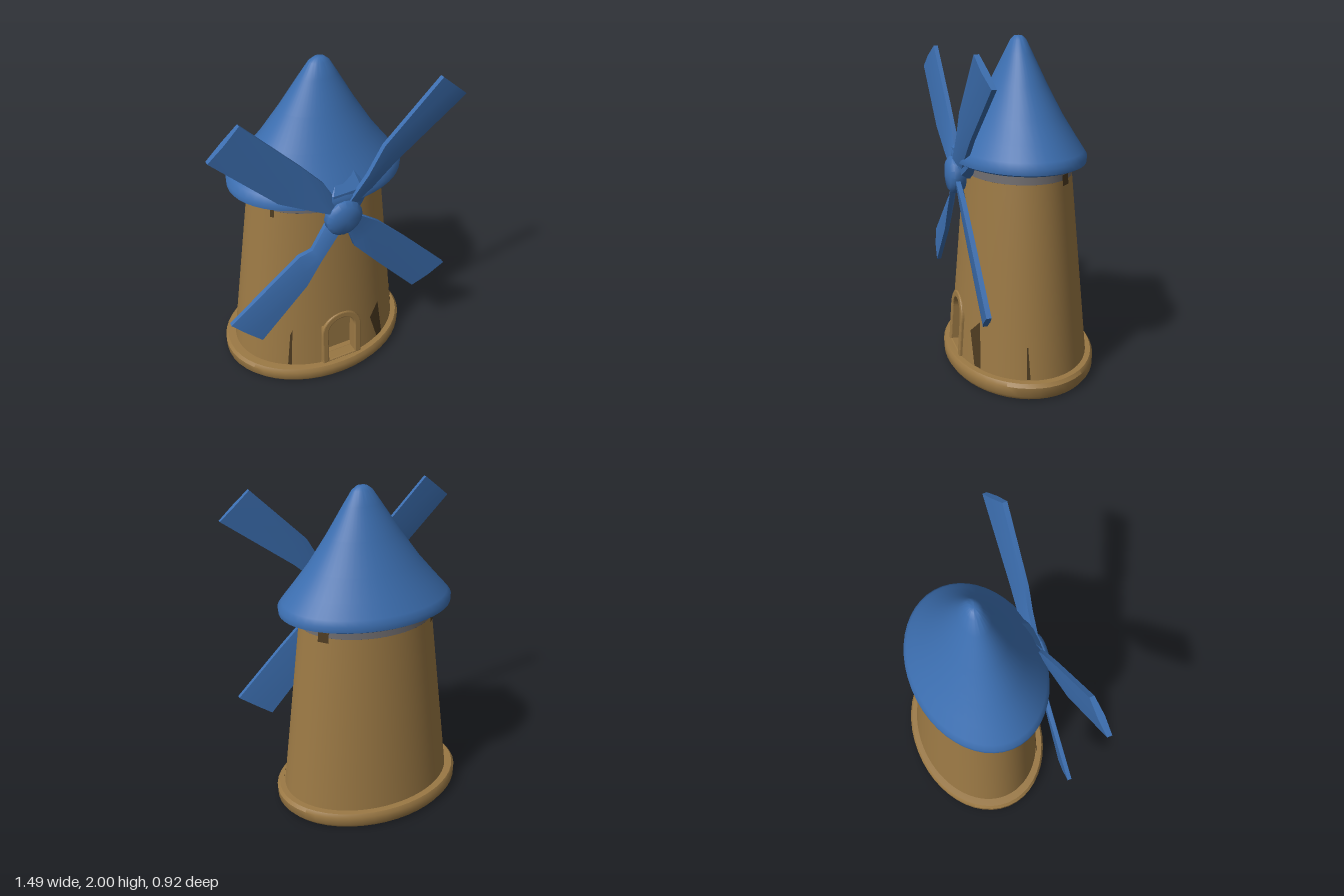
import * as THREE from 'three';
import { toCreasedNormals } from 'three/addons/utils/BufferGeometryUtils.js';
import { ConvexGeometry } from 'three/addons/geometries/ConvexGeometry.js';

const mat = (name, color, side = THREE.FrontSide) => {
  const m = new THREE.MeshStandardMaterial({ color, side });
  m.name = name;
  return m;
};

export function createModel() {
  const group = new THREE.Group();
  const brown = mat('clay brown', 0x9a7844);
  const blue = mat('sail blue', 0x3b6dae);
  const mixed = mat('blended band', 0x6d6a6c);
  const dark = mat('shadow brown', 0x4c3a20, THREE.DoubleSide);

  const add = (name, geo, material) => {
    const mesh = new THREE.Mesh(geo, material);
    mesh.name = name;
    group.add(mesh);
    return mesh;
  };

  // Elliptical turned body; profile radii are x radii, squashed in z
  const turned = (profile, squash, segments = 48) =>
    new THREE.LatheGeometry(profile.map(p => new THREE.Vector2(...p)), segments).scale(1, 1, squash);

  // Tower radii at a given height
  const rx = y => 0.552 - 0.126 * (y - 0.1);
  const rz = y => 0.412 - 0.088 * (y - 0.1);
  const onTower = (t, y, grow = 1) =>
    new THREE.Vector3(rx(y) * Math.sin(t) * grow, y, rz(y) * Math.cos(t) * grow);

  // Base slab
  const base = turned([[0, 0.01], [0.59, 0], [0.61, 0.025], [0.612, 0.08], [0.595, 0.1], [0.5, 0.105], [0, 0.105]], 0.75);
  add('base', toCreasedNormals(base, 0.7), brown).position.x = -0.008;

  // Tower wall, pushed inward at the doorway
  const rows = [];
  for (let y = 0.09; y < 1.22; y += 0.028) rows.push([1, y]);
  rows.push([1, 1.22]);
  const tower = new THREE.LatheGeometry(rows.map(p => new THREE.Vector2(...p)), 96);
  const pos = tower.attributes.position;
  for (let i = 0; i < pos.count; i++) {
    const y = pos.getY(i);
    const x = pos.getX(i) * rx(y);
    let z = pos.getZ(i) * rz(y);
    const inArch = Math.abs(x) < 0.115 && (y < 0.34 || Math.hypot(x, y - 0.33) < 0.115);
    if (z > 0 && inArch) z = 0.31;
    pos.setXYZ(i, x, y, z);
  }
  add('tower', toCreasedNormals(tower, 0.6), brown);

  // Colour change under the eaves
  const band = (name, y0, y1, material) =>
    add(name, turned([[rx(y0), y0], [rx(y1), y1]], rz(y0) / rx(y0)), material);
  band('blendedBand', 1.22, 1.265, mixed);
  band('eavesBand', 1.265, 1.32, blue);

  // Door frame leaning with the wall
  const arch = (shape, w, top) => {
    shape.moveTo(-w, 0.1);
    shape.lineTo(w, 0.1);
    shape.lineTo(w, top);
    shape.absarc(0, top, w, 0, Math.PI, false);
    shape.lineTo(-w, 0.1);
    return shape;
  };
  const frame = arch(new THREE.Shape(), 0.128, 0.33);
  frame.holes.push(arch(new THREE.Path(), 0.1, 0.33));
  const frameGeo = new THREE.ExtrudeGeometry(frame, {
    depth: 0.06, bevelSize: 0.008, bevelThickness: 0.008, bevelSegments: 2, curveSegments: 12,
  });
  const door = add('doorFrame', frameGeo, brown);
  door.position.z = 0.355;
  door.rotation.x = -0.075;

  // Narrow slits and small square vents, as [angle, height] corners
  const openings = {
    leftSlit: [[0.534, 0.11], [0.643, 0.11], [0.6, 0.39], [0.43, 0.31]],
    rightSlit: [[-0.666, 0.11], [-0.62, 0.11], [-0.623, 0.39], [-0.65, 0.35]],
    sideSlit: [[1.29, 0.11], [1.34, 0.11], [1.315, 0.3], [1.3, 0.3]],
    leftVent: [[2.06, 1.19], [2.25, 1.19], [2.25, 1.25], [2.06, 1.25]],
    rightVent: [[-2.06, 1.19], [-2.25, 1.19], [-2.25, 1.25], [-2.06, 1.25]],
    frontVent: [[-0.95, 1.18], [-1.02, 1.18], [-1.02, 1.25], [-0.95, 1.25]],
  };
  for (const [name, c] of Object.entries(openings)) {
    const geo = new THREE.BufferGeometry().setFromPoints(c.map(([t, y]) => onTower(t, y, 1.012)));
    geo.setIndex(c[0][0] > 0 ? [0, 1, 2, 0, 2, 3] : c[0][0] < c[1][0] ? [0, 1, 2, 0, 2, 3] : [0, 2, 1, 0, 3, 2]);
    geo.computeVertexNormals();
    add(name, geo, dark);
  }

  // Conical roof with a thick rim, its tip slightly off centre
  const roof = turned([
    [0.36, 1.3], [0.5, 1.288], [0.528, 1.3], [0.53, 1.335], [0.505, 1.365], [0.44, 1.44],
    [0.34, 1.56], [0.22, 1.73], [0.11, 1.9], [0.06, 1.975], [0.03, 1.997], [0, 2],
  ], 0.735);
  const rp = roof.attributes.position;
  for (let i = 0; i < rp.count; i++) rp.setX(i, rp.getX(i) + 0.025 * (rp.getY(i) - 1.3) / 0.7);
  add('roof', toCreasedNormals(roof, 0.8), blue);

  // Wedge joining the roof to the sail hub
  const wedge = [[0.06, 1.58, 0.2], [-0.16, 1.34, 0.3], [0.24, 1.36, 0.3], [-0.07, 1.36, 0.38],
    [0.1, 1.37, 0.38], [-0.08, 1.2, 0.3], [0.08, 1.2, 0.3], [-0.07, 1.2, 0.38], [0.07, 1.2, 0.38]];
  add('hubHousing', new ConvexGeometry(wedge.map(p => new THREE.Vector3(...p))), blue);

  // Hub
  const hub = new THREE.LatheGeometry(
    [[0, -0.055], [0.09, -0.05], [0.11, -0.02], [0.11, 0.02], [0.085, 0.042], [0, 0.055]].map(p => new THREE.Vector2(...p)), 16);
  hub.rotateX(Math.PI / 2);
  add('hub', toCreasedNormals(hub, 0.9), blue).position.set(-0.008, 1.21, 0.382);

  // Pitched sails: each row holds the forward edge and the rear edge, from hub to tip
  const sails = {
    upperLeftSail: [[0, 1.24, 0.03, 1.2], [0.03, 1.32, 0.09, 1.25], [0.13, 1.45, 0.2, 1.36], [0.22, 1.61, 0.32, 1.47], [0.55, 1.94, 0.74, 1.79]],
    upperRightSail: [[-0.04, 1.2, 0, 1.24], [-0.09, 1.26, -0.05, 1.33], [-0.22, 1.33, -0.12, 1.45], [-0.4, 1.43, -0.25, 1.59], [-0.75, 1.77, -0.57, 1.91]],
    lowerRightSail: [[-0.02, 1.17, -0.05, 1.2], [-0.03, 1.13, -0.1, 1.18], [-0.15, 0.95, -0.19, 1.02], [-0.24, 0.8, -0.27, 1.0], [-0.53, 0.49, -0.7, 0.65]],
    lowerLeftSail: [[0.03, 1.2, 0, 1.17], [0.09, 1.2, 0.02, 1.13], [0.22, 1.11, 0.08, 0.96], [0.42, 0.92, 0.24, 0.78], [0.72, 0.62, 0.52, 0.475]],
  };
  for (const [name, sections] of Object.entries(sails)) {
    const points = [];
    const index = [];
    sections.forEach(([ax, ay, bx, by], s) => {
      const mx = (ax + bx) / 2, my = (ay + by) / 2;
      points.push([ax, ay, 0.372], [ax, ay, 0.4], [mx, my, 0.39], [bx, by, 0.366], [bx, by, 0.34], [mx, my, 0.352]);
      for (let j = 0; s > 0 && j < 6; j++) {
        const a = (s - 1) * 6 + j, b = (s - 1) * 6 + (j + 1) % 6;
        index.push(a, b, b + 6, a, b + 6, a + 6);
      }
    });
    const tip = (sections.length - 1) * 6;
    for (let j = 1; j < 5; j++) index.push(tip, tip + j, tip + j + 1);
    const geo = new THREE.BufferGeometry().setFromPoints(points.map(p => new THREE.Vector3(...p)));
    geo.setIndex(index);
    add(name, toCreasedNormals(geo, 0.7), blue);
  }

  return group;
}
